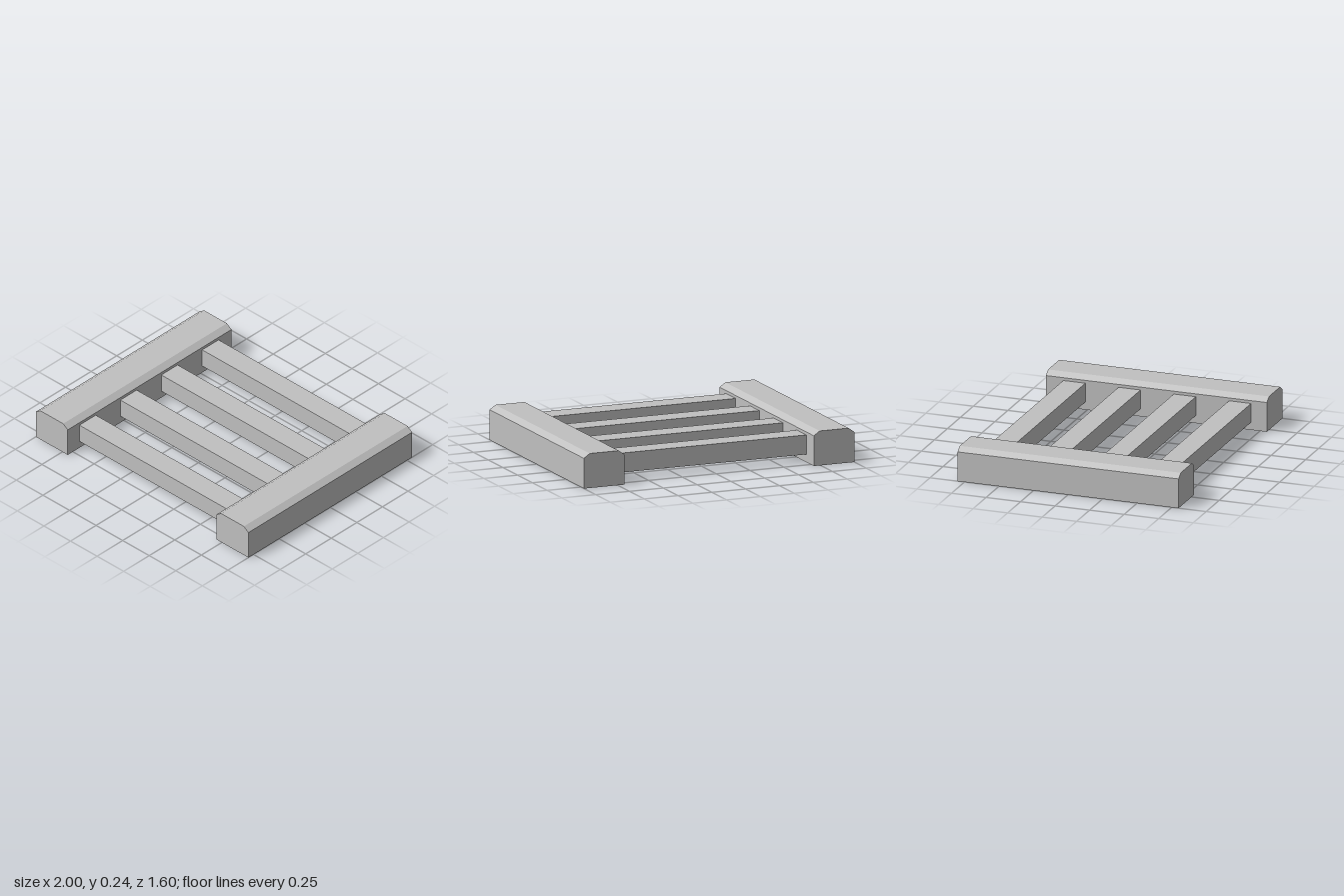
import * as THREE from 'three';

export function createModel() {
  const model = new THREE.Group();
  model.name = 'slattedFrame';
  const grey = new THREE.MeshStandardMaterial({ color: 0xc0c0c0 });
  grey.name = 'light grey';

  // Side rails: square beams with chamfered top edges, extruded along z
  const halfWidth = 0.15, height = 0.24, shoulder = 0.21, chamfer = 0.043, length = 1.6;
  const profile = new THREE.Shape([
    new THREE.Vector2(-halfWidth, 0),
    new THREE.Vector2(halfWidth, 0),
    new THREE.Vector2(halfWidth, shoulder),
    new THREE.Vector2(halfWidth - chamfer, height),
    new THREE.Vector2(-halfWidth + chamfer, height),
    new THREE.Vector2(-halfWidth, shoulder),
  ]);
  const railGeometry = new THREE.ExtrudeGeometry(profile, { depth: length, bevelEnabled: false });
  railGeometry.translate(0, 0, -length / 2);
  for (const [name, side] of [['leftRail', 1], ['rightRail', -1]]) {
    const rail = new THREE.Mesh(railGeometry, grey);
    rail.name = name;
    rail.position.x = side * (1 - halfWidth);
    model.add(rail);
  }

  // Four evenly spaced crossbars between the rails
  const barGeometry = new THREE.BoxGeometry(1.4, 0.135, 0.16);
  for (let i = 0; i < 4; i++) {
    const bar = new THREE.Mesh(barGeometry, grey);
    bar.name = `crossbar${i + 1}`;
    bar.position.set(0, 0.122, -0.594 + i * 0.4);
    model.add(bar);
  }
  return model;
}
